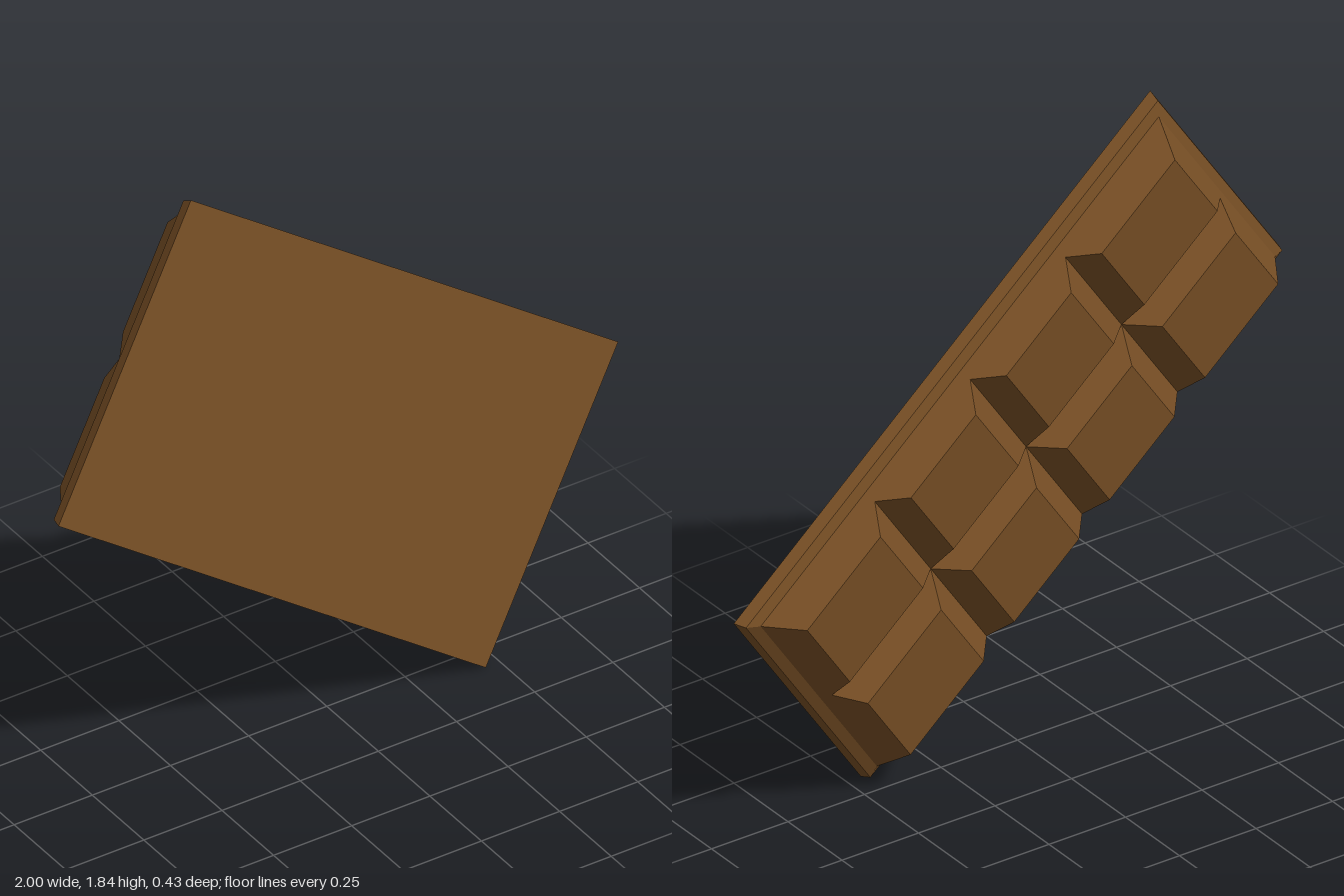
import * as THREE from 'three';

const LENGTH = 1.825, WIDTH = 0.941;
const HALF_L = LENGTH / 2, HALF_W = WIDTH / 2;

// Rectangle cross-section at a given depth behind the flat face
const rect = (x0, x1, y0, y1, depth) =>
  [[x0, y0, -depth], [x1, y0, -depth], [x1, y1, -depth], [x0, y1, -depth]];
const inset = (dx, dy, depth) =>
  rect(-HALF_L + dx, HALF_L - dx, -HALF_W + dy, HALF_W - dy, depth);

// Flat-sided loft through rectangles, with optional front and back caps
function loft(loops, frontCap, backCap) {
  const pos = [];
  const tri = (...pts) => pts.forEach((p) => pos.push(...p));
  for (let k = 0; k + 1 < loops.length; k++) {
    const a = loops[k], b = loops[k + 1];
    for (let i = 0; i < 4; i++) {
      const j = (i + 1) % 4;
      tri(a[i], b[i], b[j]);
      tri(a[i], b[j], a[j]);
    }
  }
  const f = loops[0], e = loops[loops.length - 1];
  if (frontCap) { tri(f[0], f[1], f[2]); tri(f[0], f[2], f[3]); }
  if (backCap) { tri(e[0], e[2], e[1]); tri(e[0], e[3], e[2]); }
  const g = new THREE.BufferGeometry();
  g.setAttribute('position', new THREE.Float32BufferAttribute(pos, 3));
  g.computeVertexNormals();
  return g;
}

export function createModel() {
  const chocolate = new THREE.MeshStandardMaterial({ color: 0x784f25 });
  chocolate.name = 'milkChocolate';

  const bar = new THREE.Group();
  bar.name = 'chocolateBar';
  const add = (name, geometry) => {
    const mesh = new THREE.Mesh(geometry, chocolate);
    mesh.name = name;
    bar.add(mesh);
  };

  // Flat base plate with a narrow sloping rim
  const ledge = inset(0.04, 0.04, 0.047);
  add('basePlate', loft([inset(0, 0, 0), inset(0.01, 0.01, 0.033), ledge], true, false));

  // Sloping body up to the bottom of the grooves
  const GROOVE = 0.078, TOP = 0.141;
  const gx = 0.062, gy = 0.056;      // outer inset at groove depth
  const tx = 0.107, ty = 0.088;      // outer inset at the block tops
  add('body', loft([ledge, inset(gx, gy, GROOVE)], false, false));

  // Raised blocks, four by two, parted by V grooves
  const half = 0.067;
  const xs = [-HALF_L + gx, -0.418, 0, 0.418, HALF_L - gx];
  const ys = [-HALF_W + gy, 0, HALF_W - gy];
  const shrink = (list, i, outer) => [
    list[i] + (i === 0 ? outer : half),
    list[i + 1] - (i === list.length - 2 ? outer : half),
  ];
  for (let i = 0; i < 4; i++) {
    for (let j = 0; j < 2; j++) {
      const low = rect(xs[i], xs[i + 1], ys[j], ys[j + 1], GROOVE);
      const high = rect(...shrink(xs, i, tx - gx), ...shrink(ys, j, ty - gy), TOP);
      add(`block${i + 1}${j + 1}`, loft([low, high], false, true));
    }
  }

  // Tilt the bar so that it stands on one corner
  const u = new THREE.Vector3(0.796, -0.602, -0.071).normalize();
  const v = new THREE.Vector3(0.579, 0.792, -0.197);
  v.addScaledVector(u, -v.dot(u)).normalize();
  const w = new THREE.Vector3().crossVectors(u, v);
  bar.quaternion.setFromRotationMatrix(new THREE.Matrix4().makeBasis(u, v, w));
  bar.position.set(0, 0.922, 0.056);

  const model = new THREE.Group();
  model.name = 'model';
  model.add(bar);
  return model;
}
